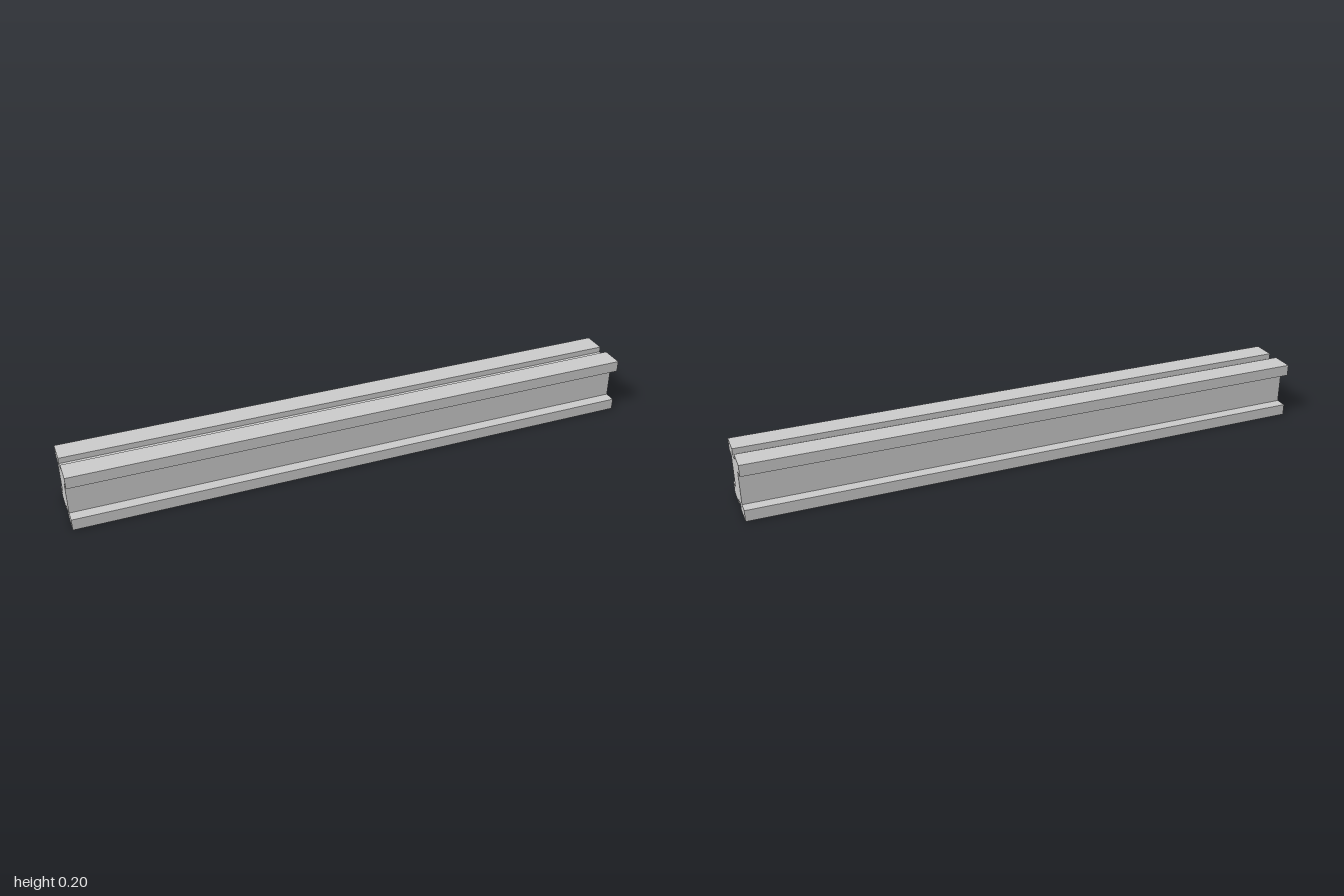
import * as THREE from 'three';

// One quarter of the cross-section, measured from the beam axis, running from side channel to top groove
const quarter = [[0.06, 0.06], [0.1, 0.06], [0.1, 0.1], [0.02, 0.1], [0.02, 0.08]];

// Mirror the quarter into the full closed outline
function beamProfile() {
  const mirror = (sx, sy) => quarter.map(([x, y]) => new THREE.Vector2(x * sx, y * sy));
  return new THREE.Shape([
    ...mirror(1, 1),
    ...mirror(-1, 1).reverse(),
    ...mirror(-1, -1),
    ...mirror(1, -1).reverse(),
  ]);
}

export function createModel() {
  const group = new THREE.Group();
  group.name = 'groovedBeam';

  // Constant section swept along x, with side channels and top and bottom grooves
  const length = 2;
  const geometry = new THREE.ExtrudeGeometry(beamProfile(), { depth: length, bevelEnabled: false });
  geometry.translate(0, 0, -length / 2);
  geometry.rotateY(Math.PI / 2);
  geometry.translate(0, 0.1, 0);

  const material = new THREE.MeshStandardMaterial({ color: 0xcccccc, flatShading: true });
  const beam = new THREE.Mesh(geometry, material);
  beam.name = 'beam';
  group.add(beam);
  return group;
}
